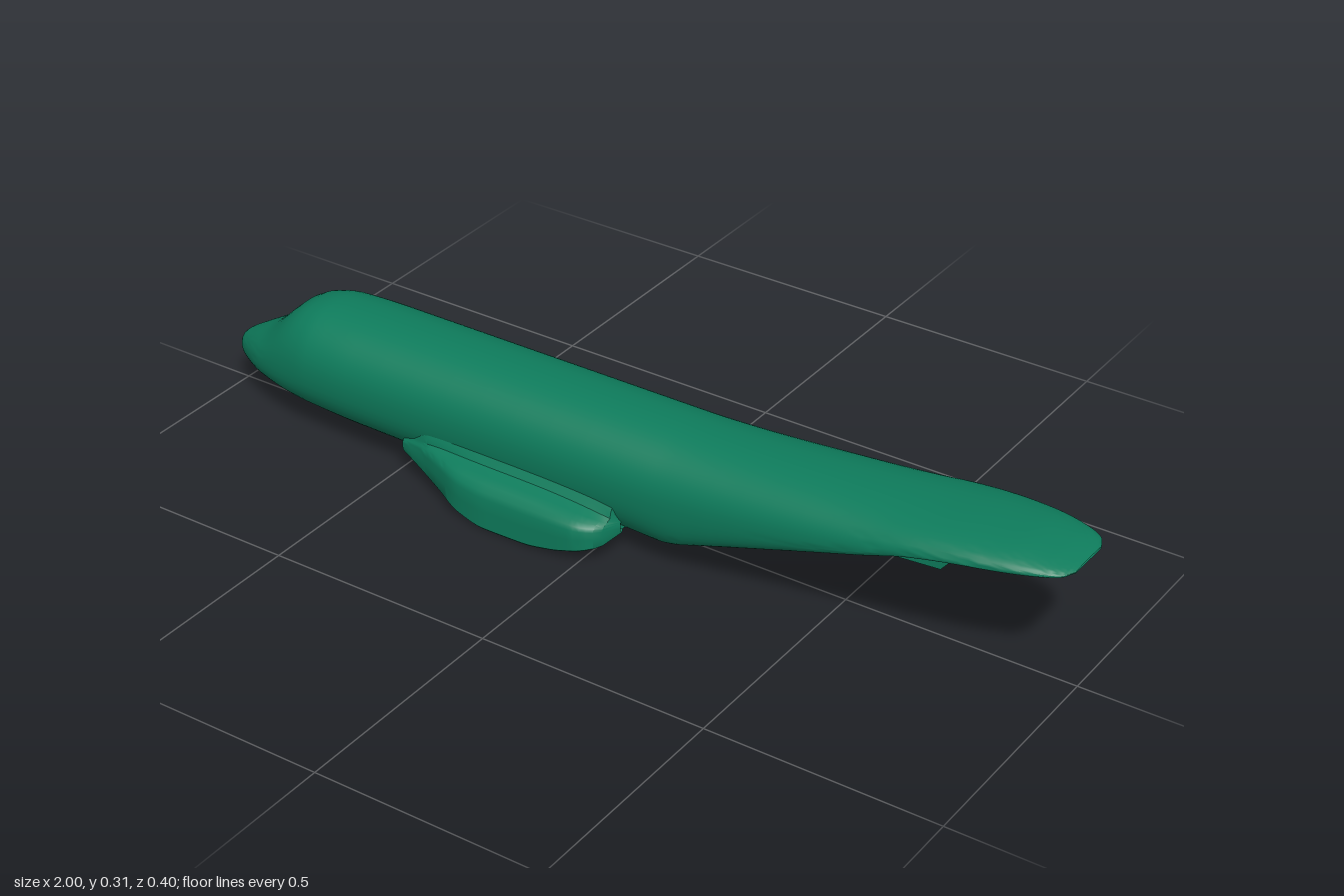
import * as THREE from 'three';
import { toCreasedNormals } from 'three/addons/utils/BufferGeometryUtils.js';

const material = new THREE.MeshStandardMaterial({ color: 0x0e7c5c, side: THREE.DoubleSide });

// Monotone cubic interpolation through rows [x, a, b, ...]
function sample(keys, x) {
  let i = 0;
  while (i < keys.length - 2 && x > keys[i + 1][0]) i++;
  const h = keys[i + 1][0] - keys[i][0], t = (x - keys[i][0]) / h;
  return keys[i].slice(1).map((_, k) => {
    const c = k + 1;
    const slope = (j) => (keys[j + 1][c] - keys[j][c]) / (keys[j + 1][0] - keys[j][0]);
    const tangent = (j) => {
      if (j === 0) return slope(0);
      if (j === keys.length - 1) return slope(j - 1);
      const p = slope(j - 1), q = slope(j);
      return p * q <= 0 ? 0 : (2 * p * q) / (p + q);
    };
    const t2 = t * t, t3 = t2 * t;
    return keys[i][c] * (2 * t3 - 3 * t2 + 1) + keys[i + 1][c] * (3 * t2 - 2 * t3)
      + h * (tangent(i) * (t3 - 2 * t2 + t) + tangent(i + 1) * (t3 - t2));
  });
}

// Skin between rings of [x, y, z] points
function loft(rings, { closed = false, flip = false, skip = () => false } = {}) {
  const n = rings[0].length, index = [];
  for (let i = 0; i < rings.length - 1; i++) {
    for (let j = 0; j < (closed ? n : n - 1); j++) {
      if (skip(i, j)) continue;
      const a = i * n + j, b = i * n + (j + 1) % n, c = a + n, d = b + n;
      if (flip) index.push(a, b, c, b, d, c);
      else index.push(a, c, b, b, c, d);
    }
  }
  const geometry = new THREE.BufferGeometry();
  geometry.setAttribute('position', new THREE.Float32BufferAttribute(rings.flat(2), 3));
  geometry.setIndex(index);
  return toCreasedNormals(geometry, 0.6);
}

function addMesh(group, name, geometry) {
  const mesh = new THREE.Mesh(geometry, material);
  mesh.name = name;
  group.add(mesh);
}

// x, bottom, top, half width, height of widest point, half width of flat belly
const BODY = [
  [-1, 0.095, 0.1, 0.0, 0.098, 0],
  [-0.99, 0.076, 0.12, 0.025, 0.098, 0.001],
  [-0.96, 0.065, 0.14, 0.05, 0.102, 0.004],
  [-0.89, 0.055, 0.18, 0.089, 0.115, 0.01],
  [-0.79, 0.046, 0.262, 0.12, 0.135, 0.02],
  [-0.73, 0.043, 0.274, 0.13, 0.15, 0.025],
  [-0.62, 0.04, 0.275, 0.135, 0.155, 0.03],
  [0.05, 0.035, 0.275, 0.135, 0.155, 0.04],
  [0.13, 0.044, 0.275, 0.135, 0.155, 0.07],
  [0.2, 0.071, 0.276, 0.135, 0.16, 0.1],
  [0.47, 0.163, 0.289, 0.135, 0.2, 0.108],
  [0.6, 0.208, 0.296, 0.135, 0.225, 0.115],
  [0.7, 0.243, 0.301, 0.134, 0.252, 0.12],
  [0.8, 0.262, 0.306, 0.127, 0.268, 0.116],
  [0.88, 0.27, 0.307, 0.115, 0.276, 0.106],
  [0.95, 0.276, 0.3, 0.096, 0.281, 0.09],
  [0.985, 0.279, 0.291, 0.078, 0.282, 0.073],
  [1, 0.28, 0.285, 0.05, 0.282, 0.048],
];

function bodyRing(x) {
  const [bottom, top, width, mid, flat] = sample(BODY, x);
  const half = [[0, bottom], [flat / 2, bottom]];
  const power = 2 / 2.25;
  for (let k = 0; k <= 10; k++) {
    const a = (k / 10) * Math.PI / 2;
    half.push([flat + (width - flat) * Math.sin(a) ** power,
      mid - (mid - bottom) * Math.max(0, Math.cos(a)) ** power]);
  }
  for (let k = 1; k <= 14; k++) {
    const a = (k / 14) * Math.PI / 2;
    half.push([width * Math.max(0, Math.cos(a)) ** power, mid + (top - mid) * Math.sin(a) ** power]);
  }
  const mirrored = half.slice(1, -1).reverse().map(([z, y]) => [-z, y]);
  return [...half, ...mirrored].map(([z, y]) => [x, y, z]);
}

// Fuselage with an open cargo hatch in the sloping tail underside
function fuselage() {
  const stations = [];
  BODY.slice(0, -1).forEach(([x], i) => {
    const steps = x === -0.62 ? 8 : 4;
    for (let s = 0; s < steps; s++) stations.push(x + (BODY[i + 1][0] - x) * s / steps);
  });
  stations.push(1);
  const rings = stations.map(bodyRing), n = rings[0].length;
  const skip = (i, j) => stations[i] > 0.199 && stations[i + 1] < 0.471 && (j < 2 || j >= n - 2);
  return loft(rings, { closed: true, skip });
}

// x, outer reach, underside, top of the wheel fairing
const FAIRING = [
  [-0.48, 0.125, 0.06, 0.085],
  [-0.42, 0.143, 0.043, 0.1],
  [-0.36, 0.166, 0.028, 0.105],
  [-0.29, 0.192, 0.01, 0.106],
  [-0.22, 0.2, 0.0, 0.106],
  [-0.13, 0.2, 0.001, 0.105],
  [-0.06, 0.2, 0.012, 0.102],
  [-0.01, 0.198, 0.026, 0.098],
  [0.03, 0.18, 0.037, 0.092],
  [0.05, 0.15, 0.046, 0.086],
  [0.055, 0.12, 0.052, 0.08],
];

function fairing(side) {
  const rings = [];
  for (let s = 0; s <= 44; s++) {
    const x = -0.48 + 0.535 * s / 44;
    const [reach, low, high] = sample(FAIRING, x);
    const h = high - low, inner = Math.min(0.135, reach - 0.01), w = reach - inner;
    const section = [
      [0.035, 0.037], [inner, Math.min(low + 0.016, 0.06)],
      [reach - w * 0.48, low], [reach - w * 0.06, low], [reach, low + h * 0.04],
      [reach, low + h * 0.4], [reach, low + h * 0.7], [reach - w * 0.07, low + h * 0.82],
      [reach - w * 0.25, low + h * 0.92], [reach - w * 0.55, low + h * 0.97],
      [inner + w * 0.12, high + 0.003], [inner, high + 0.016], [inner - 0.008, high + 0.03],
    ];
    rings.push(section.map(([z, y]) => [x, y, z * side]));
  }
  return loft(rings, { flip: side < 0 });
}

// Thin strake under the tail
function strake(side) {
  const shape = new THREE.Shape([[0.62, 0.222], [0.76, 0.232], [0.785, 0.262], [0.7, 0.262], [0.64, 0.235]]
    .map(([x, y]) => new THREE.Vector2(x, y)));
  const geometry = new THREE.ExtrudeGeometry(shape, { depth: 0.006, bevelEnabled: false });
  return geometry.translate(0, 0, side * 0.11 - 0.003);
}

export function createModel() {
  const group = new THREE.Group();
  group.name = 'aircraftBody';
  addMesh(group, 'fuselage', fuselage());
  for (const side of [1, -1]) {
    const label = side > 0 ? 'Front' : 'Back';
    addMesh(group, `wheelFairing${label}`, fairing(side));
    addMesh(group, `tailStrake${label}`, strake(side));
  }
  return group;
}
